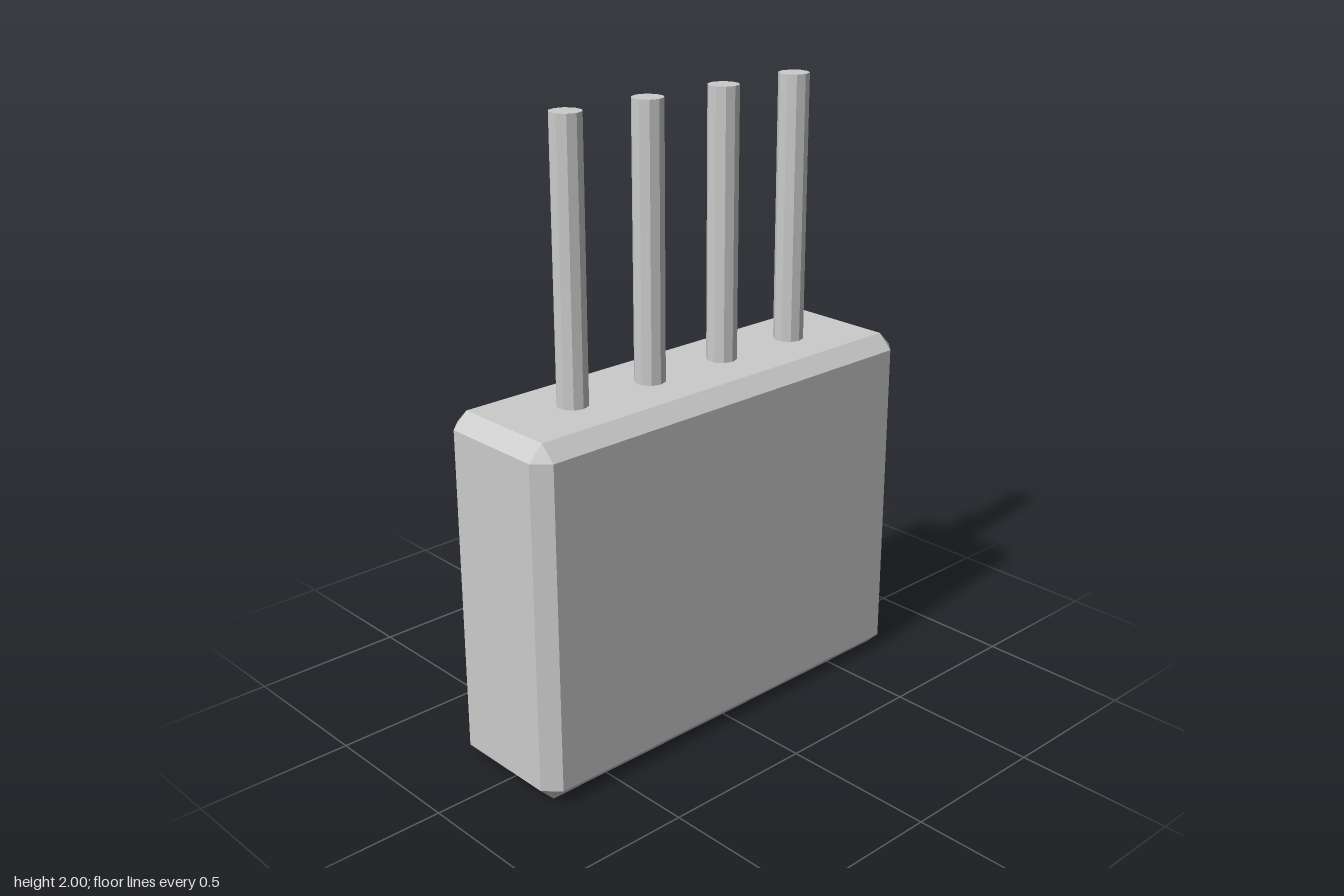
import * as THREE from 'three';
import { ConvexGeometry } from 'three/addons/geometries/ConvexGeometry.js';

const material = new THREE.MeshStandardMaterial({ color: 0xcccccc, flatShading: true });

// Box with every edge cut by a flat 45 degree chamfer
function chamferedBox(width, height, depth, cut) {
  const points = [];
  const [w, h, d] = [width / 2, height / 2, depth / 2];
  for (const x of [-1, 1]) for (const y of [-1, 1]) for (const z of [-1, 1]) {
    points.push(
      new THREE.Vector3(x * w, y * (h - cut), z * (d - cut)),
      new THREE.Vector3(x * (w - cut), y * h, z * (d - cut)),
      new THREE.Vector3(x * (w - cut), y * (h - cut), z * d)
    );
  }
  return new ConvexGeometry(points);
}

export function createModel() {
  const model = new THREE.Group();
  model.name = 'fourPinComponent';

  // Body
  const bodyHeight = 1.143;
  const body = new THREE.Mesh(chamferedBox(1.508, bodyHeight, 0.444, 0.048), material);
  body.name = 'body';
  body.position.y = bodyHeight / 2;
  model.add(body);

  // Row of ten-sided pins standing on the body
  const pinBase = bodyHeight - 0.002;
  const pinGeometry = new THREE.CylinderGeometry(0.049, 0.049, 2 - pinBase, 10);
  for (let i = 0; i < 4; i++) {
    const pin = new THREE.Mesh(pinGeometry, material);
    pin.name = `pin${i + 1}`;
    pin.position.set((i - 1.5) * 0.302, (2 + pinBase) / 2, 0);
    model.add(pin);
  }

  return model;
}
